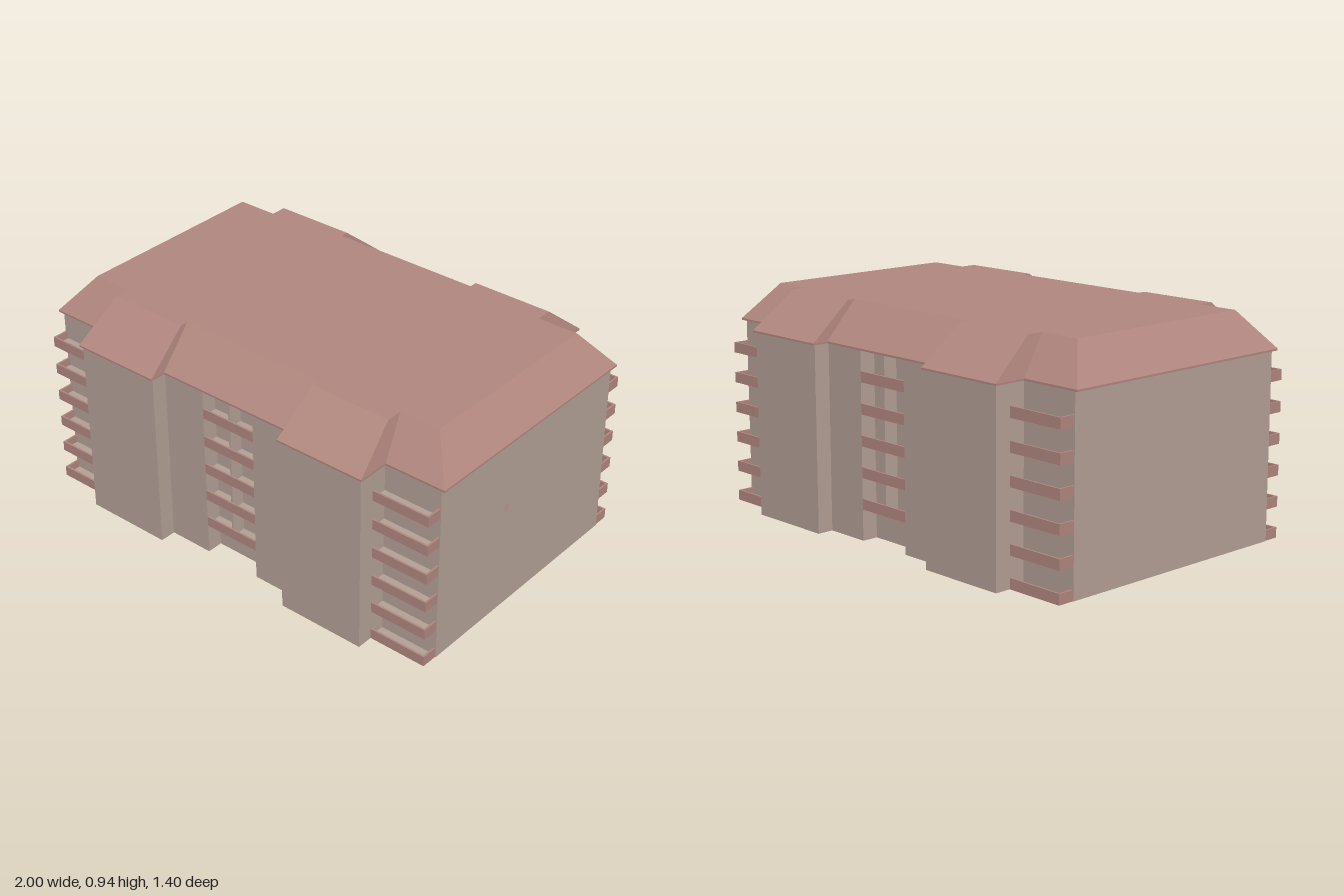
import * as THREE from 'three';

const wallMat = new THREE.MeshStandardMaterial({ color: 0xb3a096, side: THREE.DoubleSide });
wallMat.name = 'plaster';
const roofMat = new THREE.MeshStandardMaterial({ color: 0xb1877f, side: THREE.DoubleSide });
roofMat.name = 'terracotta';

// Quarter outlines [x, z], from the side wall towards the middle of the facade
const WALL = [[0.98, 0.55], [0.72, 0.55], [0.72, 0.69], [0.33, 0.69], [0.33, 0.62], [0.13, 0.62], [0.13, 0.55]];
const EAVE = [[1, 0.56], [0.73, 0.56], [0.73, 0.7], [0.325, 0.7], [0.325, 0.63]];
const RIDGE = [[0.88, 0.44], [0.7, 0.44], [0.7, 0.51], [0.34, 0.51], [0.34, 0.475]];
const EAVE_Y = 0.78, ROOF_Y = 0.94;

// Mirror a quarter outline into a closed loop
function loop(q) {
  const r = [...q].reverse();
  return [
    ...q,
    ...r.map(([x, z]) => [-x, z]),
    ...q.map(([x, z]) => [-x, -z]),
    ...r.map(([x, z]) => [x, -z]),
  ];
}

// Flat-shaded band between two loops at two heights
function band(lower, y0, upper, y1) {
  const pos = [];
  lower.forEach((a, i) => {
    const j = (i + 1) % lower.length;
    const b = lower[j], c = upper[j], d = upper[i];
    const A = [a[0], y0, a[1]], B = [b[0], y0, b[1]], C = [c[0], y1, c[1]], D = [d[0], y1, d[1]];
    pos.push(...A, ...D, ...B, ...B, ...D, ...C);
  });
  const g = new THREE.BufferGeometry();
  g.setAttribute('position', new THREE.Float32BufferAttribute(pos, 3));
  g.computeVertexNormals();
  return g;
}

// Horizontal sheet bounded by a loop, with an optional hole
function sheet(outer, y, hole) {
  const pts = (l) => l.map(([x, z]) => new THREE.Vector2(x, -z));
  const s = new THREE.Shape(pts(outer));
  if (hole) s.holes.push(new THREE.Path(pts(hole)));
  return new THREE.ShapeGeometry(s).rotateX(-Math.PI / 2).translate(0, y, 0);
}

function add(parent, name, geo, mat) {
  const m = new THREE.Mesh(geo, mat);
  m.name = name;
  parent.add(m);
  return m;
}

function box(parent, name, mat, x0, x1, y0, y1, z0, z1) {
  const g = new THREE.BoxGeometry(x1 - x0, y1 - y0, z1 - z0);
  g.translate((x0 + x1) / 2, (y0 + y1) / 2, (z0 + z1) / 2);
  return add(parent, name, g, mat);
}

// Open tray balcony on the front; endWall closes its outer end
function balcony(x0, x1, y, endWall) {
  const g = new THREE.Group();
  g.name = 'balcony';
  const h = 0.044, t = 0.008;
  box(g, 'balconySlab', roofMat, x0, x1, y, y + 0.006, 0.55, 0.62);
  box(g, 'balconyFloor', wallMat, x0, x1 - (endWall ? t : 0), y + 0.006, y + 0.01, 0.55, 0.62 - t);
  box(g, 'balconyParapet', roofMat, x0, x1, y + 0.006, y + h, 0.62 - t, 0.62);
  if (endWall) box(g, 'balconyEnd', roofMat, x1 - t, x1, y + 0.006, y + h, 0.55, 0.62 - t);
  return g;
}

export function createModel() {
  const model = new THREE.Group();
  model.name = 'apartmentBlock';
  const wall = loop(WALL), eave = loop(EAVE), ridge = loop(RIDGE);

  // Hollow shell and roof
  add(model, 'walls', band(wall, 0, wall, EAVE_Y), wallMat);
  add(model, 'soffit', sheet(eave, EAVE_Y, wall), roofMat);
  add(model, 'eaveEdge', band(eave, EAVE_Y, eave, EAVE_Y + 0.008), roofMat);
  add(model, 'roofSlopes', band(eave, EAVE_Y + 0.008, ridge, ROOF_Y), roofMat);
  add(model, 'roofTop', sheet(ridge, ROOF_Y), roofMat);

  // Balconies and recess divider, repeated on front and back
  for (const turn of [0, Math.PI]) {
    const facade = new THREE.Group();
    facade.name = turn ? 'backFacade' : 'frontFacade';
    for (let i = 0; i < 6; i++) {
      const y = i * 0.13;
      const left = balcony(0.72, 0.977, y, true);
      const right = balcony(0.72, 0.977, y, true);
      // Mirrored copy for the other corner
      right.children.forEach((m) => {
        m.geometry.computeBoundingBox();
        const b = m.geometry.boundingBox;
        m.position.x = -(b.min.x + b.max.x);
      });
      facade.add(left, right);
      if (i > 0) facade.add(balcony(-0.13, 0.13, y, false));
    }
    box(facade, 'recessDivider', wallMat, -0.004, 0.004, 0.14, EAVE_Y, 0.55, 0.611);
    facade.rotation.y = turn;
    model.add(facade);
  }

  // Small slatted vent on the side wall
  for (let i = 0; i < 4; i++) {
    const y = 0.457 + i * 0.008;
    box(model, 'ventSlat', roofMat, 0.979, 0.982, y, y + 0.003, 0.118, 0.146);
  }
  return model;
}
